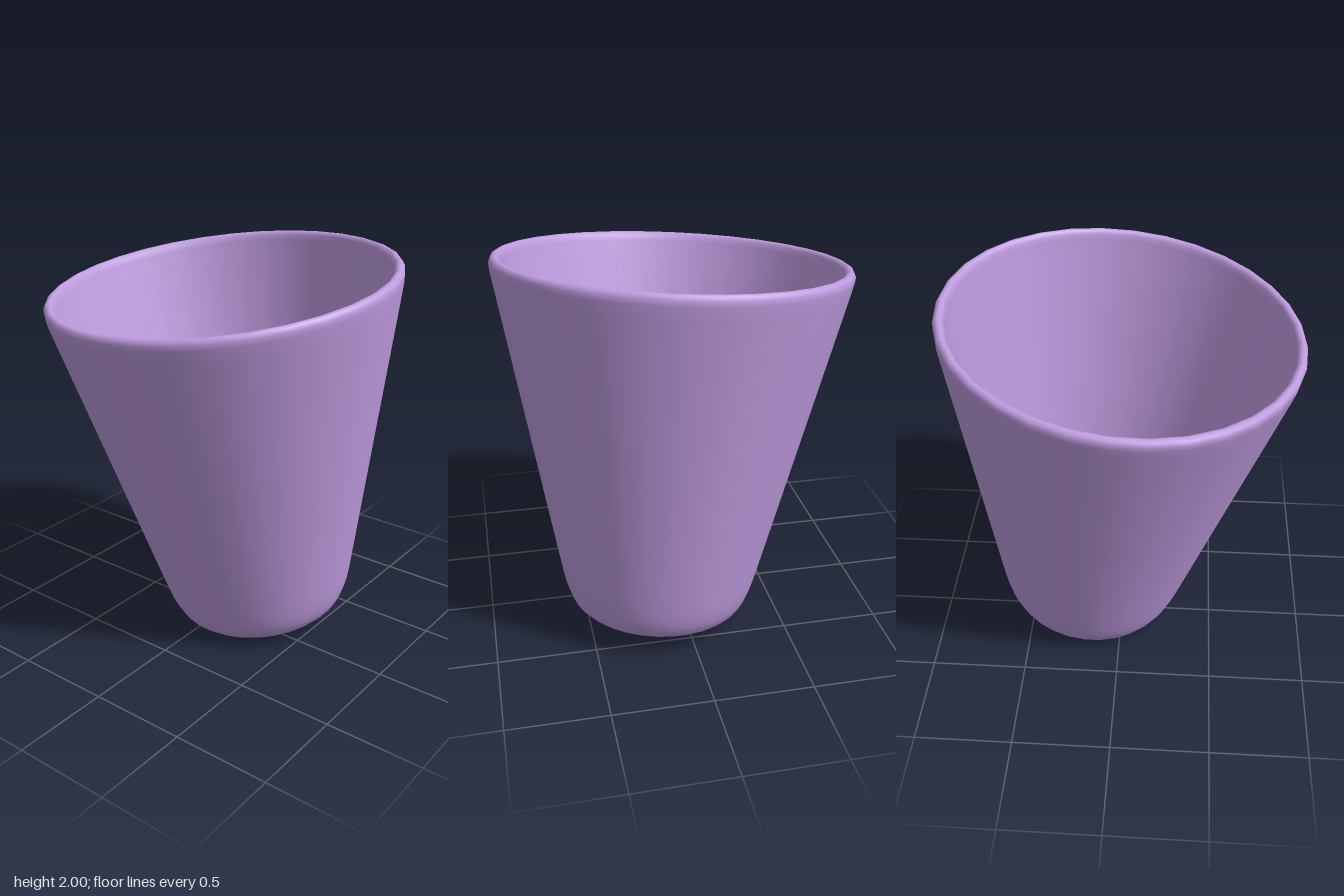
import * as THREE from 'three';

export function createModel() {
  const model = new THREE.Group();
  model.name = 'tiltedCup';

  // Closed wall profile: outer base, outer wall, rounded lip, inner wall, floor
  const profile = [
    [0, 0], [0.34, 0], [0.385, 0.005], [0.42, 0.018], [0.452, 0.047], [0.477, 0.095],
    [0.497, 0.15], [0.515, 0.22], [0.55, 0.37], [0.695, 1.0], [0.868, 1.75],
    [0.881, 1.81], [0.883, 1.835], [0.875, 1.853], [0.86, 1.861], [0.845, 1.857],
    [0.834, 1.843], [0.828, 1.815], [0.815, 1.75], [0.642, 1.0], [0.497, 0.37],
    [0.463, 0.22], [0.447, 0.16], [0.43, 0.115], [0.405, 0.08], [0.37, 0.063],
    [0.33, 0.058], [0, 0.058],
  ].map(([r, h]) => new THREE.Vector2(r, h));

  const cup = new THREE.Mesh(
    new THREE.LatheGeometry(profile, 32),
    new THREE.MeshStandardMaterial({ color: 0xbf9ce0 })
  );
  cup.name = 'cup';

  // Lean the axis toward the front and the model's right
  const axis = new THREE.Vector3(-0.068, 1, 0.108).normalize();
  cup.quaternion.setFromUnitVectors(new THREE.Vector3(0, 1, 0), axis);
  cup.position.set(0.123, 0.047, -0.195);
  model.add(cup);
  return model;
}
